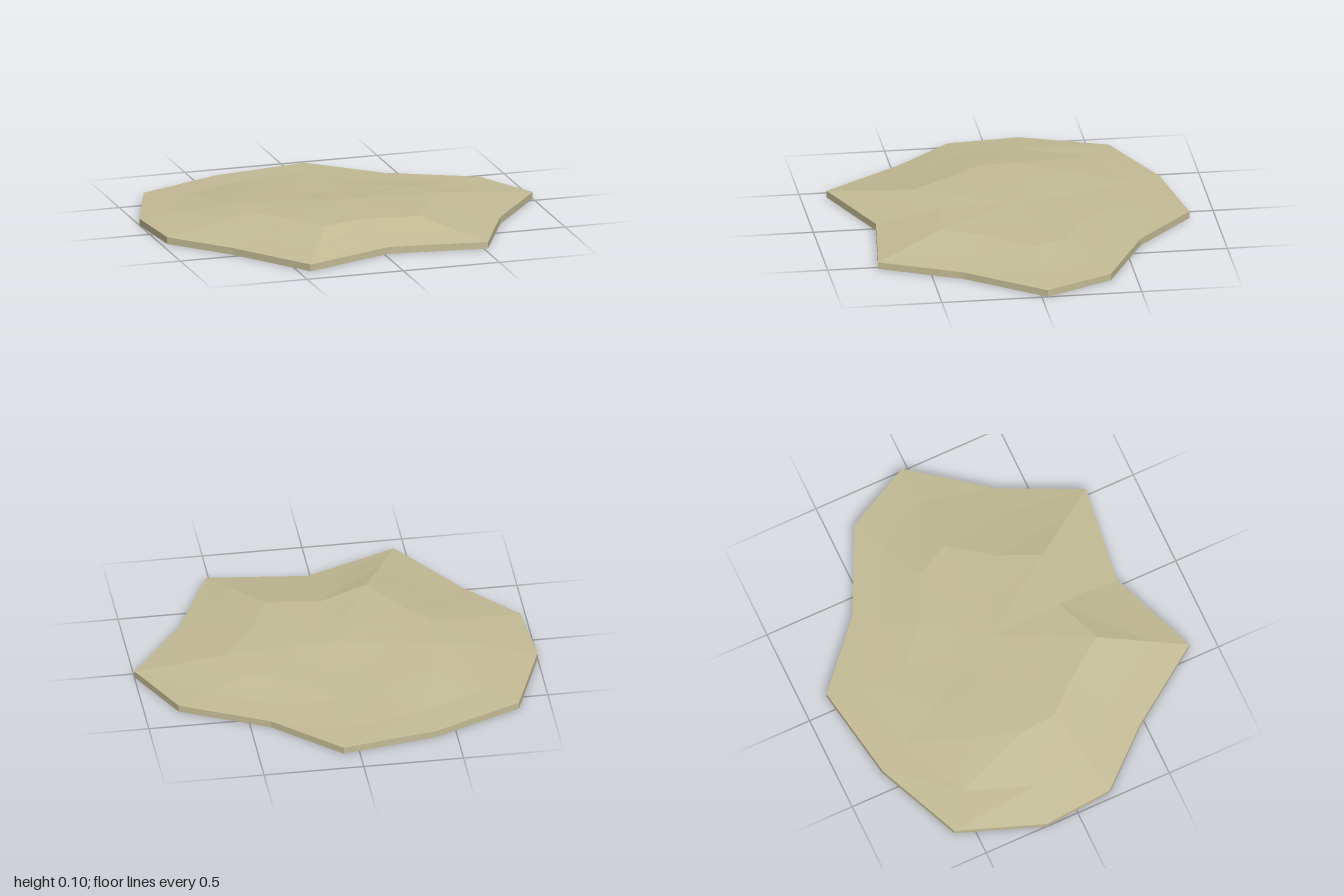
import * as THREE from 'three';

// Uneven outline of the slab as x, z, then the heights of its middle and inner rings
const RIM = [
  [1, -0.03, 0.05, 0.08], [0.83, -0.37, 0.045, 0.071], [0.4, -0.58, 0.045, 0.066], [0.08, -0.87, 0.04, 0.055],
  [-0.4, -0.79, 0.042, 0.06], [-0.84, -0.6, 0.048, 0.076], [-1, -0.17, 0.058, 0.094], [-0.97, 0.19, 0.06, 0.098],
  [-0.72, 0.47, 0.062, 0.102], [-0.44, 0.87, 0.062, 0.104], [0.02, 0.69, 0.059, 0.093], [0.52, 0.75, 0.059, 0.093],
  [0.71, 0.35, 0.056, 0.086],
];
const EDGE = 0.035;

// Scaled copy of the outline at the height given for each corner
const ring = (scale, height) => RIM.map((p) => [p[0] * scale, height(p), p[1] * scale]);

// Flat-faced skin through a list of rings, optionally closed to a point
function skin(rings, tip) {
  const pos = [];
  const n = RIM.length;
  rings.forEach((a, r) => {
    const b = rings[r + 1];
    for (let i = 0; i < n; i++) {
      const j = (i + 1) % n;
      if (b) pos.push(...a[i], ...a[j], ...b[j], ...a[i], ...b[j], ...b[i]);
      else if (tip) pos.push(...a[i], ...a[j], ...tip);
    }
  });
  const geometry = new THREE.BufferGeometry();
  geometry.setAttribute('position', new THREE.Float32BufferAttribute(pos, 3));
  geometry.computeVertexNormals();
  return geometry;
}

export function createModel() {
  const group = new THREE.Group();
  group.name = 'rockSlab';
  const stone = new THREE.MeshStandardMaterial({ color: 0xc4bc96, flatShading: true });
  stone.name = 'sandstone';
  const add = (name, geometry) => {
    const mesh = new THREE.Mesh(geometry, stone);
    mesh.name = name;
    group.add(mesh);
  };

  const base = ring(1, () => 0);
  const edge = ring(1, () => EDGE);

  // Gently domed top, sloping down to the rim
  add('top', skin([
    edge,
    ring(0.8, (p) => p[2]),
    ring(0.53, (p) => p[3]),
    ring(0.25, (p) => 0.6 * p[3] + 0.4 * 0.094),
  ], [0, 0.094, 0]));

  // Thin upright rim
  add('rim', skin([base, edge]));

  // Flat underside, wound the other way round
  const underside = skin([base], [0, 0, 0]);
  underside.setIndex([...Array(RIM.length * 3).keys()].reverse());
  underside.computeVertexNormals();
  add('underside', underside);
  return group;
}
